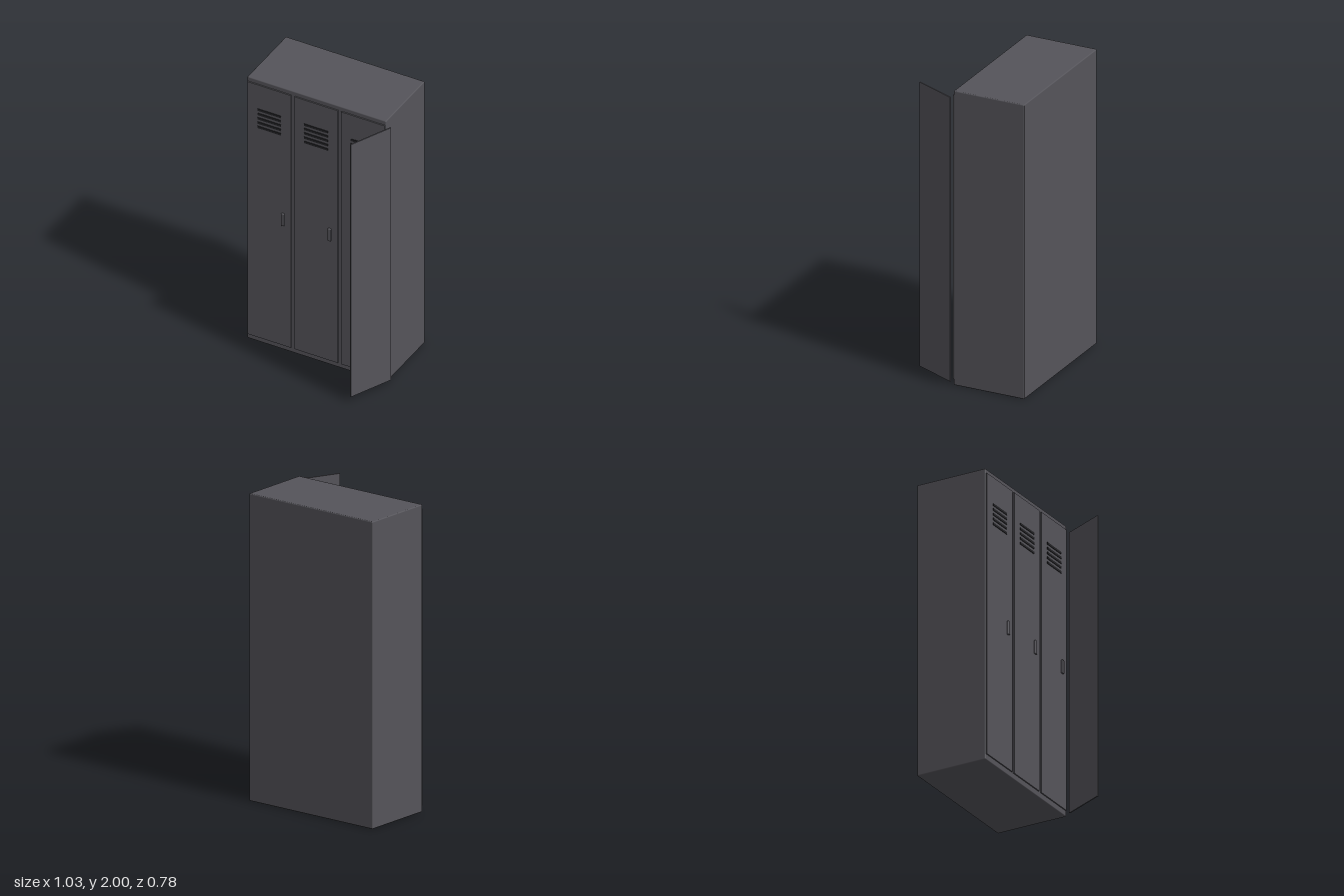
import * as THREE from 'three';
import { RoundedBoxGeometry } from 'three/addons/geometries/RoundedBoxGeometry.js';

export function createModel() {
  const locker = new THREE.Group();
  locker.name = 'locker';

  const steel = new THREE.MeshStandardMaterial({ color: 0x55545a });
  steel.name = 'grey steel';
  const dark = new THREE.MeshStandardMaterial({ color: 0x242427 });
  dark.name = 'dark vent';

  const add = (parent, name, geometry, material, x, y, z) => {
    const mesh = new THREE.Mesh(geometry, material);
    mesh.name = name;
    mesh.position.set(x, y, z);
    parent.add(mesh);
    return mesh;
  };

  // Cabinet with finely eased edges
  add(locker, 'cabinet', new RoundedBoxGeometry(0.992, 2, 0.495, 2, 0.007), steel, -0.019, 1, -0.1425);

  // Three closed doors, each with five vent slots and a handle
  const doorGeometry = new THREE.BoxGeometry(0.31, 1.93, 0.012);
  const slotGeometry = new THREE.BoxGeometry(0.168, 0.015, 0.008);
  const handleGeometry = new RoundedBoxGeometry(0.023, 0.094, 0.018, 2, 0.006);
  for (let i = 0; i < 3; i++) {
    const door = new THREE.Group();
    door.name = `door${i + 1}`;
    door.position.set(-0.352 + i * 0.333, 0, 0);
    locker.add(door);
    add(door, 'doorPanel', doorGeometry, steel, 0, 1.003, 0.107);
    for (let j = 0; j < 5; j++) {
      add(door, 'ventSlot', slotGeometry, dark, 0, 1.648 + j * 0.033, 0.113);
    }
    add(door, 'handle', handleGeometry, steel, 0.098, 1.003, 0.116);
  }

  // Plain panel standing open at the right-hand edge
  const openDoor = add(locker, 'openDoor', new THREE.BoxGeometry(0.31, 1.93, 0.008), steel, 0.447, 1.003, 0.25);
  openDoor.rotation.y = Math.atan2(0.282, 0.129);

  return locker;
}
